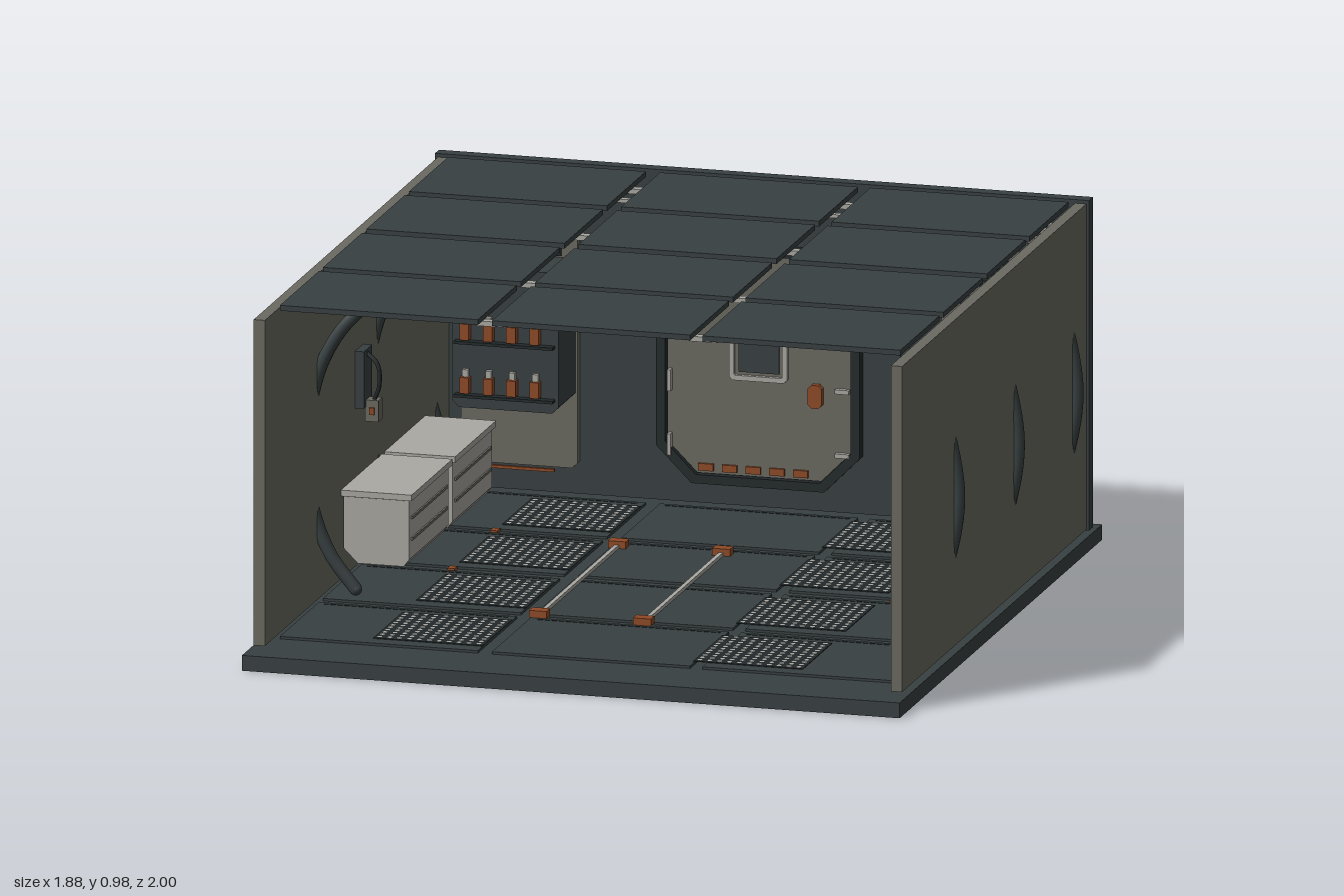
import * as THREE from 'three';
import { mergeGeometries } from 'three/addons/utils/BufferGeometryUtils.js';

const mat = (name, color) => {
  const m = new THREE.MeshStandardMaterial({ color });
  m.name = name;
  return m;
};

export function createModel() {
  const dark = mat('dark slate', 0x384041);
  const black = mat('near black', 0x23292b);
  const grey = mat('warm grey', 0x6b6a62);
  const pale = mat('pale grey', 0xaaa9a3);
  const orange = mat('burnt orange', 0x8f4a26);
  const room = new THREE.Group();
  room.name = 'room';

  const add = (name, geometry, material, parent = room) => {
    const m = new THREE.Mesh(geometry, material);
    m.name = name;
    parent.add(m);
    return m;
  };
  // box given by its limits
  const box = (name, material, x0, x1, y0, y1, z0, z1, parent = room) => {
    const g = new THREE.BoxGeometry(x1 - x0, y1 - y0, z1 - z0);
    g.translate((x0 + x1) / 2, (y0 + y1) / 2, (z0 + z1) / 2);
    return add(name, g, material, parent);
  };
  // rectangle with cut corners, extruded towards +z
  const cutPlate = (x0, x1, y0, y1, cut, depth, hole) => {
    const pts = (a, b, c, d, k) => [[a + k, c], [b - k, c], [b, c + k], [b, d - k],
      [b - k, d], [a + k, d], [a, d - k], [a, c + k]].map(p => new THREE.Vector2(...p));
    const s = new THREE.Shape(pts(x0, x1, y0, y1, cut));
    if (hole) s.holes.push(new THREE.Path(pts(x0 + hole, x1 - hole, y0 + hole, y1 - hole, cut - hole * 0.5)));
    return new THREE.ExtrudeGeometry(s, { depth, bevelEnabled: false });
  };

  // shell: base, back and side walls
  box('base', dark, -0.93, 0.93, 0, 0.043, -1, 1);
  box('backWall', dark, -0.925, 0.925, 0.053, 0.98, -0.93, -0.89);
  for (const s of [-1, 1]) {
    const x0 = s > 0 ? 0.885 : -0.917;
    box('sideWall', grey, x0, x0 + 0.032, 0.055, 0.97, -0.89, 0.93);
  }

  // ceiling and floor tiles on a three by four grid
  const columns = [[-0.88, -0.32], [-0.28, 0.28], [0.315, 0.875]];
  const rows = [[-0.86, -0.475], [-0.435, -0.055], [-0.01, 0.375], [0.415, 0.8]];
  for (const [x0, x1] of columns) for (const [z0, z1] of rows) {
    box('ceilingPanel', dark, x0, x1, 0.965, 0.98, z0, z1);
    box('floorTile', dark, x0, x1, 0.043, 0.05, z0, z1);
    box('floorSeam', black, x0 + 0.02, x1 - 0.02, 0.05, 0.051, z0 + 0.012, z0 + 0.02);
  }
  // clips and beams carrying the ceiling
  for (const x of [-0.3, 0.3]) {
    for (const z of [-0.74, -0.22, 0.31, 0.74]) {
      box('ceilingClip', pale, x - 0.045, x + 0.045, 0.95, 0.964, z - 0.013, z + 0.013);
    }
    const cx = x * 1.4;
    add('ceilingBracket', cutPlate(cx - 0.07, cx + 0.07, 0.925, 0.945, 0.008, 0.04), dark).position.z = -0.85;
  }
  box('ceilingRail', pale, -0.88, 0.88, 0.944, 0.954, -0.67, -0.65);

  // perforated floor grates
  for (const gx of [-0.475, 0.43]) for (const [z0, z1] of rows) {
    const dots = [];
    for (let i = 0; i < 11; i++) for (let j = 0; j < 11; j++) {
      const d = new THREE.CircleGeometry(0.0075, 6).rotateX(-Math.PI / 2);
      dots.push(d.translate(gx + (i - 5) * 0.028, 0.053, (z0 + z1) / 2 + (j - 5) * 0.026));
    }
    add('grateDots', mergeGeometries(dots), pale);
    box('grate', black, gx - 0.155, gx + 0.155, 0.05, 0.052, (z0 + z1) / 2 - 0.145, (z0 + z1) / 2 + 0.145);
  }

  // floor rails with orange end stops
  for (const x of [-0.26, 0.035]) {
    box('floorRail', pale, x - 0.006, x + 0.006, 0.05, 0.06, -0.38, 0.4);
    for (const z of [-0.38, 0.4]) box('railStop', orange, x - 0.025, x + 0.025, 0.05, 0.07, z - 0.018, z + 0.018);
  }
  for (const x of [-0.63, 0.62, 0.825]) for (const z of [-0.455, -0.03]) {
    box('floorMarker', orange, x - 0.01, x + 0.01, 0.044, 0.054, z - 0.015, z + 0.015);
  }

  // curved ribs that bulge through the side walls
  const ribPoints = [[0.54, 0.955], [0.68, 0.935], [0.8, 0.84], [0.865, 0.74], [0.899, 0.64],
    [0.925, 0.47], [0.899, 0.3], [0.85, 0.18], [0.78, 0.09]];
  for (const s of [-1, 1]) for (const z of [-0.77, -0.19, 0.4]) {
    const curve = new THREE.CatmullRomCurve3(ribPoints.map(([x, y]) => new THREE.Vector3(s * x, y, z)));
    add('rib', new THREE.TubeGeometry(curve, 40, 0.018, 10), dark);
    for (const p of [ribPoints[0], ribPoints[8]]) {
      add('ribEnd', new THREE.SphereGeometry(0.018, 10, 8), dark).position.set(s * p[0], p[1], z);
    }
  }

  // eight-sided door in the back wall
  const door = new THREE.Group();
  door.name = 'door';
  door.position.z = -0.89;
  room.add(door);
  add('doorFrame', cutPlate(-0.29, 0.285, 0.115, 0.79, 0.1, 0.035, 0.025), black, door);
  add('doorLeaf', cutPlate(-0.262, 0.258, 0.142, 0.765, 0.085, 0.02), grey, door);
  add('windowFrame', cutPlate(-0.085, 0.08, 0.412, 0.6, 0.01, 0.032, 0.014), pale, door);
  box('windowGlass', dark, -0.06, 0.055, 0.435, 0.578, 0.02, 0.026, door);
  add('doorHandle', cutPlate(0.14, 0.18, 0.35, 0.415, 0.01, 0.04), orange, door);
  for (let i = 0; i < 5; i++) {
    const x = -0.152 + i * 0.067;
    box('doorTab', orange, x - 0.021, x + 0.021, 0.15, 0.17, 0.02, 0.028, door);
  }
  for (const y of [0.22, 0.4, 0.65]) {
    box('hinge', pale, -0.258, -0.248, y - 0.03, y + 0.03, 0.02, 0.04, door);
    box('latch', pale, 0.215, 0.255, y - 0.006, y + 0.006, 0.02, 0.035, door);
  }

  // back wall cabinets with vents
  for (const s of [-1, 1]) {
    const cabinet = new THREE.Group();
    cabinet.name = 'cabinet';
    cabinet.position.set(s * 0.68, 0, -0.89);
    room.add(cabinet);
    add('cabinetPanel', cutPlate(-0.165, 0.165, 0.13, 0.87, 0.015, 0.025), grey, cabinet);
    box('ventFrame', black, -0.12, 0.12, 0.725, 0.8, 0.025, 0.03, cabinet);
    for (let i = 0; i < 4; i++) {
      const y = 0.738 + i * 0.016;
      box('ventSlat', dark, -0.11, 0.11, y - 0.004, y + 0.004, 0.03, 0.038, cabinet);
    }
    for (const y of [0.12, 0.842]) box('trimLine', orange, -0.1, 0.1, y - 0.004, y + 0.004, 0.02, 0.03, cabinet);
    // bolt rings in the upper corner
    for (const y of [0.87, 0.905]) {
      add('boltRing', new THREE.TorusGeometry(0.011, 0.003, 6, 16), pale, cabinet).position.set(s * 0.15, y, 0.03);
    }
  }

  // switch console
  const consoleGroup = new THREE.Group();
  consoleGroup.name = 'console';
  room.add(consoleGroup);
  add('consoleBody', cutPlate(-0.82, -0.52, 0.325, 0.72, 0.018, 0.17), dark, consoleGroup).position.z = -0.865;
  for (const y of [0.37, 0.52]) {
    box('consoleShelf', black, -0.81, -0.53, y - 0.012, y - 0.004, -0.695, -0.67, consoleGroup);
    for (let i = 0; i < 4; i++) {
      const x = -0.78 + i * 0.066;
      box('switch', orange, x - 0.013, x + 0.013, y, y + 0.045, -0.695, -0.67, consoleGroup);
      box('switchCap', pale, x - 0.008, x + 0.008, y + 0.045, y + 0.065, -0.695, -0.68, consoleGroup);
    }
  }

  // storage boxes along the wall
  for (const z of [-0.65, -0.22]) {
    const store = new THREE.Group();
    store.name = 'storageBox';
    store.position.z = z;
    room.add(store);
    const side = new THREE.Shape([[-0.88, 0.14], [-0.84, 0.1], [-0.71, 0.1], [-0.695, 0.12],
      [-0.695, 0.285], [-0.88, 0.285]].map(p => new THREE.Vector2(...p)));
    add('boxBody', new THREE.ExtrudeGeometry(side, { depth: 0.39, bevelEnabled: false }), pale, store);
    box('boxLid', pale, -0.885, -0.685, 0.288, 0.305, -0.005, 0.4, store);
    for (const y of [0.17, 0.23]) box('boxGroove', grey, -0.696, -0.69, y, y + 0.008, 0.02, 0.37, store);
  }

  // wall handset with its cord
  box('handsetCradle', dark, -0.885, -0.86, 0.5, 0.66, -0.04, 0.04);
  box('handset', grey, -0.862, -0.825, 0.46, 0.52, -0.02, 0.02);
  box('handsetButton', orange, -0.85, -0.835, 0.48, 0.5, 0.02, 0.026);
  const cord = new THREE.CatmullRomCurve3([[-0.865, 0.65, 0], [-0.83, 0.62, 0.01], [-0.825, 0.56, 0.01], [-0.845, 0.51, 0]]
    .map(p => new THREE.Vector3(...p)));
  add('handsetCord', new THREE.TubeGeometry(cord, 16, 0.006, 6), black);

  return room;
}
